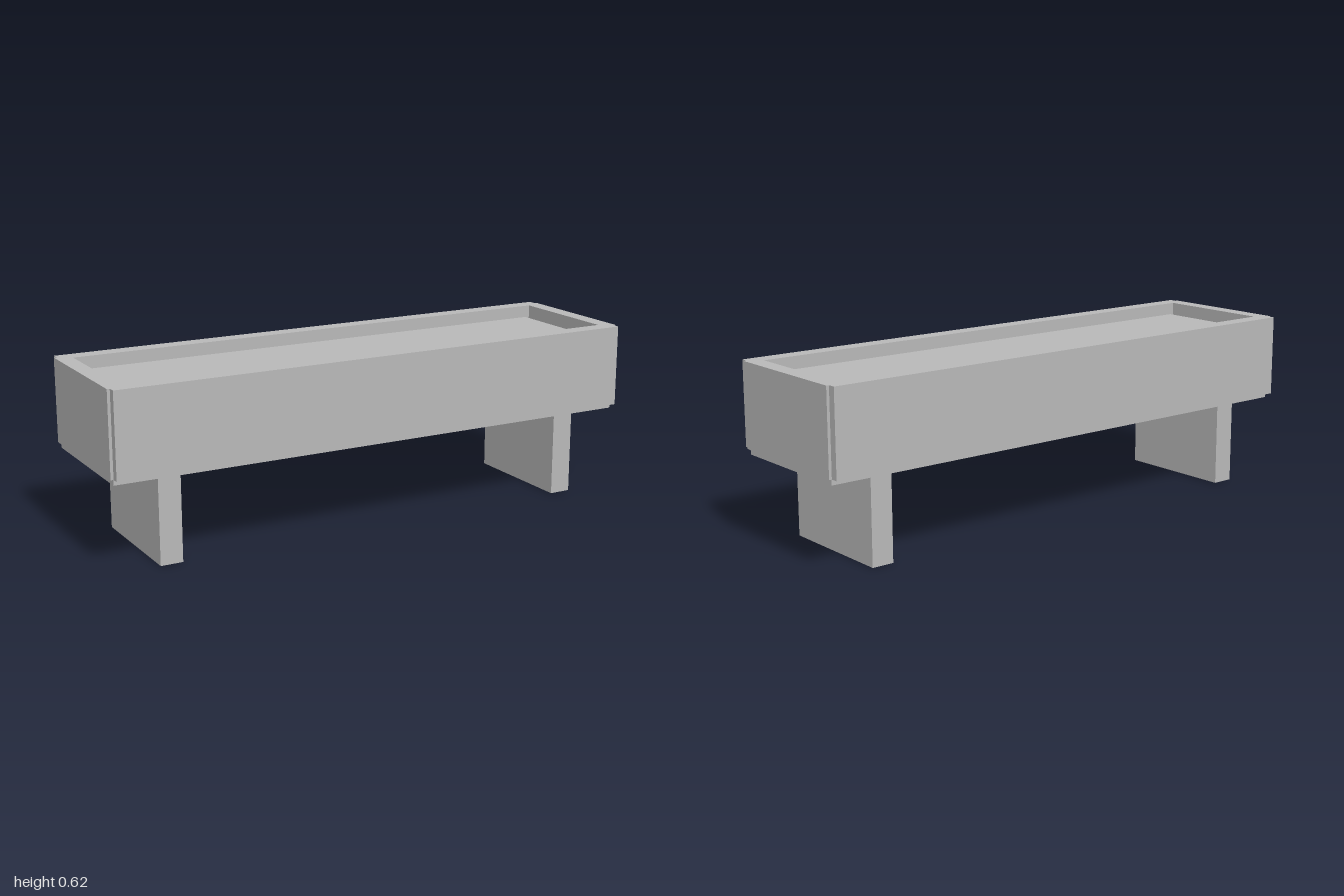
import * as THREE from 'three';

export function createModel() {
  const model = new THREE.Group();
  const stone = new THREE.MeshStandardMaterial({ color: 0xb8b8b8 });
  stone.name = 'grey stone';

  const add = (name, geometry, x, y, z) => {
    const mesh = new THREE.Mesh(geometry, stone);
    mesh.name = name;
    mesh.position.set(x, y, z);
    model.add(mesh);
    return mesh;
  };
  // box given by its size, bottom height and x position
  const block = (name, w, h, d, bottom, x = 0) =>
    add(name, new THREE.BoxGeometry(w, h, d), x, bottom + h / 2, 0);

  // trough walls: long panels overlap the end panels, leaving notched corners
  const outline = new THREE.Shape([
    [1, -0.25], [1, 0.25], [0.99, 0.25], [0.99, 0.277],
    [-0.99, 0.277], [-0.99, 0.25], [-1, 0.25], [-1, -0.25],
    [-0.99, -0.25], [-0.99, -0.277], [0.99, -0.277], [0.99, -0.25],
  ].map(([x, y]) => new THREE.Vector2(x, y)));
  outline.holes.push(new THREE.Path([
    [0.943, -0.218], [-0.943, -0.218], [-0.943, 0.218], [0.943, 0.218],
  ].map(([x, y]) => new THREE.Vector2(x, y))));
  const walls = new THREE.ExtrudeGeometry(outline, { depth: 0.297, bevelEnabled: false });
  walls.rotateX(-Math.PI / 2);
  add('troughWalls', walls, 0, 0.328, 0);

  // base plate and the filling, which leaves a narrow gap to the walls
  block('basePlate', 1.98, 0.02, 0.494, 0.308);
  block('filling', 1.836, 0.255, 0.414, 0.328);

  // slab legs
  for (const [name, side] of [['leftLeg', 1], ['rightLeg', -1]]) {
    block(name, 0.08, 0.308, 0.446, 0, side * 0.79);
  }
  return model;
}
